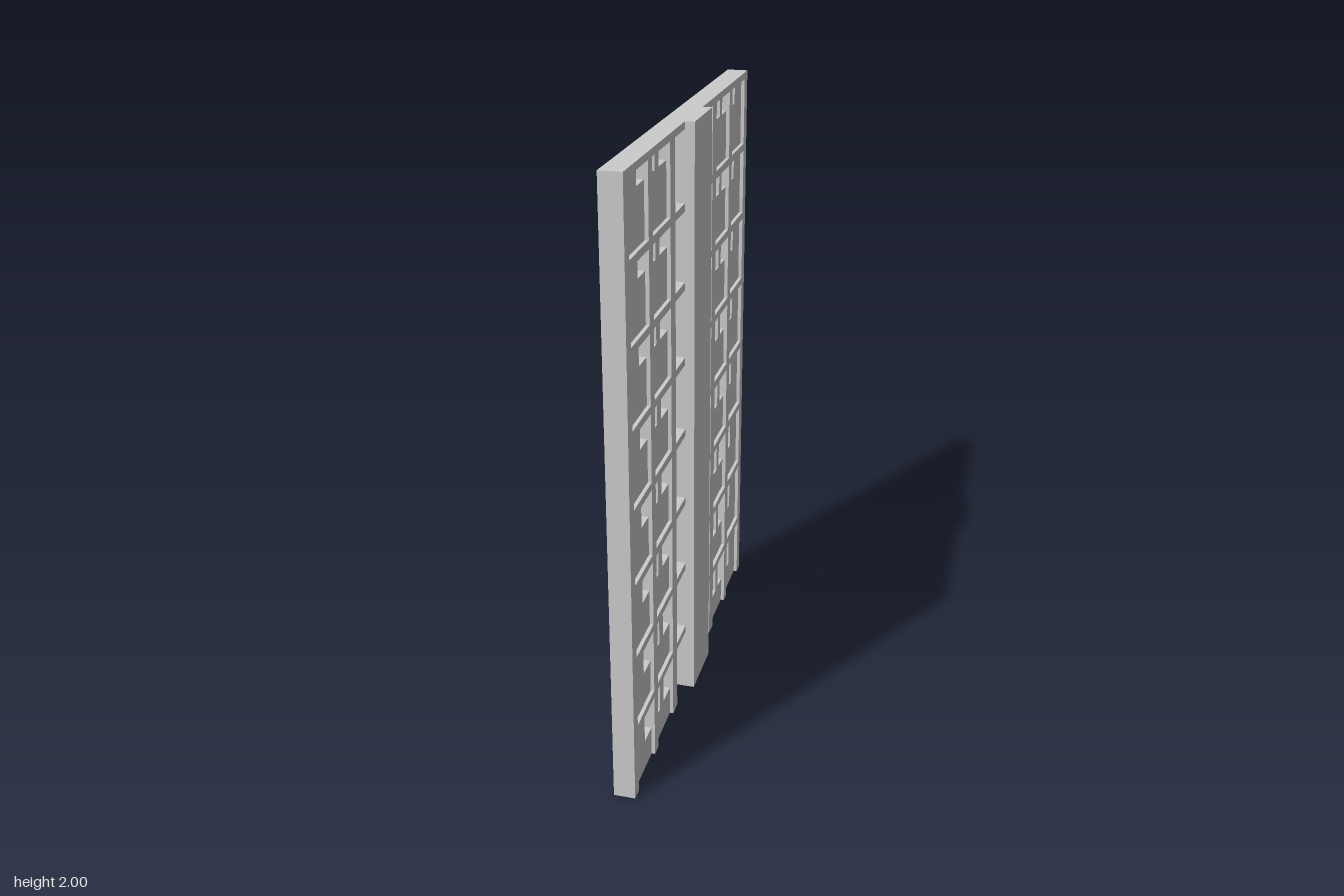
import * as THREE from 'three';

const ROWS = 8, STOREY = 0.2503, CLEAR = 0.225;
const HALF = 0.74, HEIGHT = 2;
const BACK = -0.05, RECESS = 0.008, FACE = 0.02, CORE_FACE = 0.05;

// Spans run across the facade (u = -z): [from, to]
const GAPS = [[-0.231, -0.118], [0.098, 0.231]];
const PANELS = [[-0.698, -0.512], [-0.47, -0.284], [0.284, 0.47], [0.512, 0.698]];
const WINDOWS = [
  { sill: 0.103, step: 0.26, spans: [[-0.586, -0.512], [-0.47, -0.406], [-0.363, -0.284]] },
  { sill: 0.095, step: 0.2596, spans: [[0.284, 0.379], [0.411, 0.47], [0.512, 0.597]] },
];

const material = new THREE.MeshStandardMaterial({ color: 0xcccccc, flatShading: true });

function rectHole([u0, u1], y0, y1) {
  return new THREE.Path([
    new THREE.Vector2(u0, y0), new THREE.Vector2(u0, y1),
    new THREE.Vector2(u1, y1), new THREE.Vector2(u1, y0),
  ]);
}

// Wall outline: ground-floor openings are notches, upper ones are holes
function wallShape(openings) {
  const shape = new THREE.Shape();
  shape.moveTo(-HALF, 0);
  for (const [u0, u1] of [...openings].sort((a, b) => a[0] - b[0])) {
    shape.lineTo(u0, 0);
    shape.lineTo(u0, CLEAR);
    shape.lineTo(u1, CLEAR);
    shape.lineTo(u1, 0);
  }
  shape.lineTo(HALF, 0);
  shape.lineTo(HALF, HEIGHT);
  shape.lineTo(-HALF, HEIGHT);
  for (let i = 1; i < ROWS; i++) {
    for (const span of openings) {
      shape.holes.push(rectHole(span, i * STOREY, i * STOREY + CLEAR));
    }
  }
  return shape;
}

// Extrude a facade drawing along x between two planes
function layer(name, shape, x0, x1) {
  const geometry = new THREE.ExtrudeGeometry(shape, { depth: x1 - x0, bevelEnabled: false });
  geometry.rotateY(Math.PI / 2);
  geometry.translate(x0, 0, 0);
  const mesh = new THREE.Mesh(geometry, material);
  mesh.name = name;
  return mesh;
}

export function createModel() {
  const group = new THREE.Group();
  group.name = 'facadeWall';

  // Back wall with window openings whose sills climb slightly each storey
  const wall = wallShape(GAPS);
  for (const { sill, step, spans } of WINDOWS) {
    for (let i = 0; i < ROWS; i++) {
      for (const span of spans) {
        wall.holes.push(rectHole(span, sill + i * step, i * STOREY + CLEAR));
      }
    }
  }
  group.add(layer('backWall', wall, BACK, RECESS));

  // Raised grid of piers and floor bands framing the recessed panels
  group.add(layer('frameGrid', wallShape([...GAPS, ...PANELS]), RECESS, FACE));

  // Projecting central shaft
  const [u0, u1] = [GAPS[0][1], GAPS[1][0]];
  const shaft = new THREE.Mesh(
    new THREE.BoxGeometry(CORE_FACE - FACE, HEIGHT, u1 - u0), material);
  shaft.position.set((CORE_FACE + FACE) / 2, HEIGHT / 2, -(u0 + u1) / 2);
  shaft.name = 'centralShaft';
  group.add(shaft);

  return group;
}
